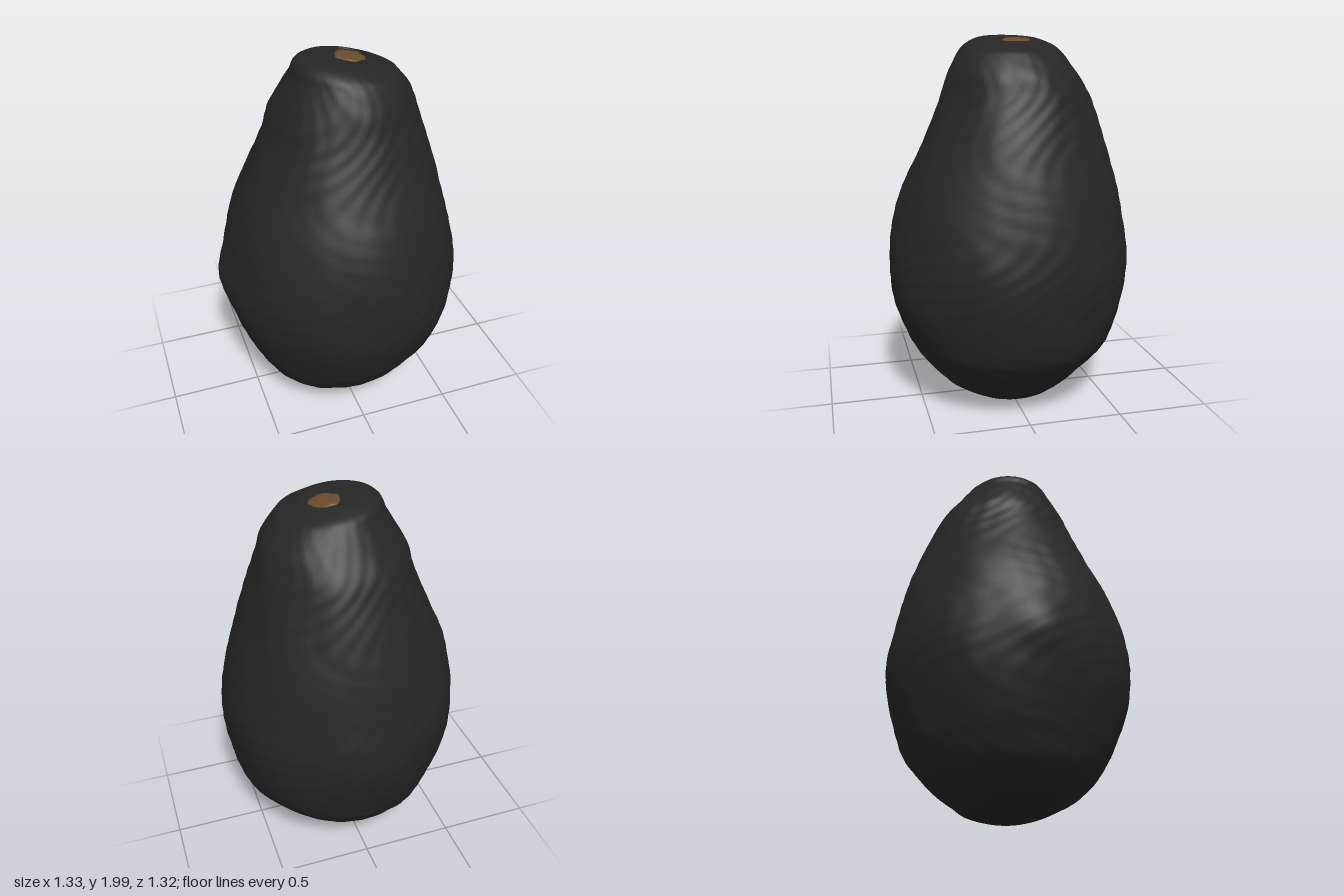
import * as THREE from 'three';

// Cross-sections from base to crown: y, xMin, xMax, zMin, zMax
const SECTIONS = [
  [0.004, 0.09, 0.09, 0, 0], [0.01, 0.0, 0.17, -0.1, 0.1], [0.04, -0.12, 0.26, -0.22, 0.21],
  [0.08, -0.25, 0.32, -0.29, 0.30], [0.12, -0.35, 0.37, -0.36, 0.37],
  [0.2, -0.45, 0.44, -0.45, 0.45], [0.3, -0.505, 0.53, -0.53, 0.52],
  [0.4, -0.55, 0.595, -0.575, 0.57], [0.6, -0.61, 0.645, -0.635, 0.645],
  [0.8, -0.63, 0.66, -0.655, 0.66], [1.0, -0.605, 0.635, -0.63, 0.635],
  [1.2, -0.55, 0.59, -0.59, 0.575], [1.4, -0.46, 0.53, -0.525, 0.485],
  [1.6, -0.37, 0.465, -0.455, 0.40], [1.7, -0.34, 0.435, -0.415, 0.36],
  [1.8, -0.29, 0.40, -0.35, 0.325], [1.9, -0.23, 0.32, -0.28, 0.275],
  [1.95, -0.20, 0.26, -0.235, 0.23], [1.983, -0.12, 0.19, -0.15, 0.15],
  [1.975, 0.0, 0.17, -0.115, 0.055], [1.972, 0.085, 0.085, -0.03, -0.03],
];
const AROUND = 120, UP = 160;

// Low bumps and fine wrinkles of the rind
function rind(a, y) {
  const lumps = Math.sin(3 * a + 4 * y) * Math.sin(5 * y + 1) + 0.7 * Math.sin(7 * a - 9 * y);
  const wrinkles = Math.sin(19 * a + 6 * Math.sin(8 * y)) * Math.sin(31 * y + 3 * Math.sin(4 * a));
  return 0.004 * lumps + 0.003 * wrinkles;
}

function fruitGeometry() {
  const spline = (i, j) => new THREE.CatmullRomCurve3(
    SECTIONS.map(s => new THREE.Vector3(s[i], s[0], s[j])), false, 'catmullrom', 0.5);
  const xs = spline(1, 2), zs = spline(3, 4);
  const pos = [], index = [];
  for (let i = 0; i <= UP; i++) {
    const px = xs.getPoint(i / UP), pz = zs.getPoint(i / UP), y = px.y;
    const cx = (px.x + px.z) / 2, rx = Math.max(0, (px.z - px.x) / 2);
    const cz = (pz.x + pz.z) / 2, rz = Math.max(0, (pz.z - pz.x) / 2);
    const rough = THREE.MathUtils.smoothstep(rx, 0.12, 0.4);
    const tilt = 0.12 * THREE.MathUtils.smoothstep(y, 1.9, 1.98);
    for (let j = 0; j < AROUND; j++) {
      const a = j / AROUND * Math.PI * 2;
      // One swelling on the right flank
      const bump = 0.035 * Math.exp(-(((a - 3.2) / 0.22) ** 2) - ((y - 0.8) / 0.14) ** 2);
      const d = rough * rind(a, y) + bump;
      const x = cx + (rx + d) * Math.cos(a), z = cz + (rz + d) * Math.sin(a);
      pos.push(x, y - tilt * x, z);
      if (i < UP) {
        const p = i * AROUND + j, q = i * AROUND + (j + 1) % AROUND;
        index.push(p, p + AROUND, q, q, p + AROUND, q + AROUND);
      }
    }
  }
  const g = new THREE.BufferGeometry();
  g.setAttribute('position', new THREE.Float32BufferAttribute(pos, 3));
  g.setIndex(index);
  g.computeVertexNormals();
  return g;
}

// Ragged, slightly domed scar where the stalk broke off
function stemGeometry() {
  const g = new THREE.SphereGeometry(0.08, 28, 6, 0, Math.PI * 2, 0, Math.PI / 2);
  const p = g.attributes.position;
  for (let i = 0; i < p.count; i++) {
    const x = p.getX(i), z = p.getZ(i), a = Math.atan2(z, x);
    const k = 1 + 0.05 * Math.sin(5 * a) + 0.04 * Math.sin(9 * a + 1);
    p.setXYZ(i, x * k, p.getY(i) * 0.2 + 0.003 * Math.sin(70 * x) * Math.cos(60 * z), z * k);
  }
  g.computeVertexNormals();
  return g;
}

export function createModel() {
  const skin = new THREE.MeshStandardMaterial({ color: 0x262626 });
  skin.name = 'dark skin';
  const brown = new THREE.MeshStandardMaterial({ color: 0x6b4a28 });
  brown.name = 'stem brown';

  const model = new THREE.Group();
  model.name = 'avocado';
  const fruit = new THREE.Mesh(fruitGeometry(), skin);
  fruit.name = 'fruit';
  const stem = new THREE.Mesh(stemGeometry(), brown);
  stem.name = 'stemScar';
  stem.position.set(0.085, 1.964, -0.03);
  stem.rotation.z = -0.14;
  model.add(fruit, stem);
  return model;
}
